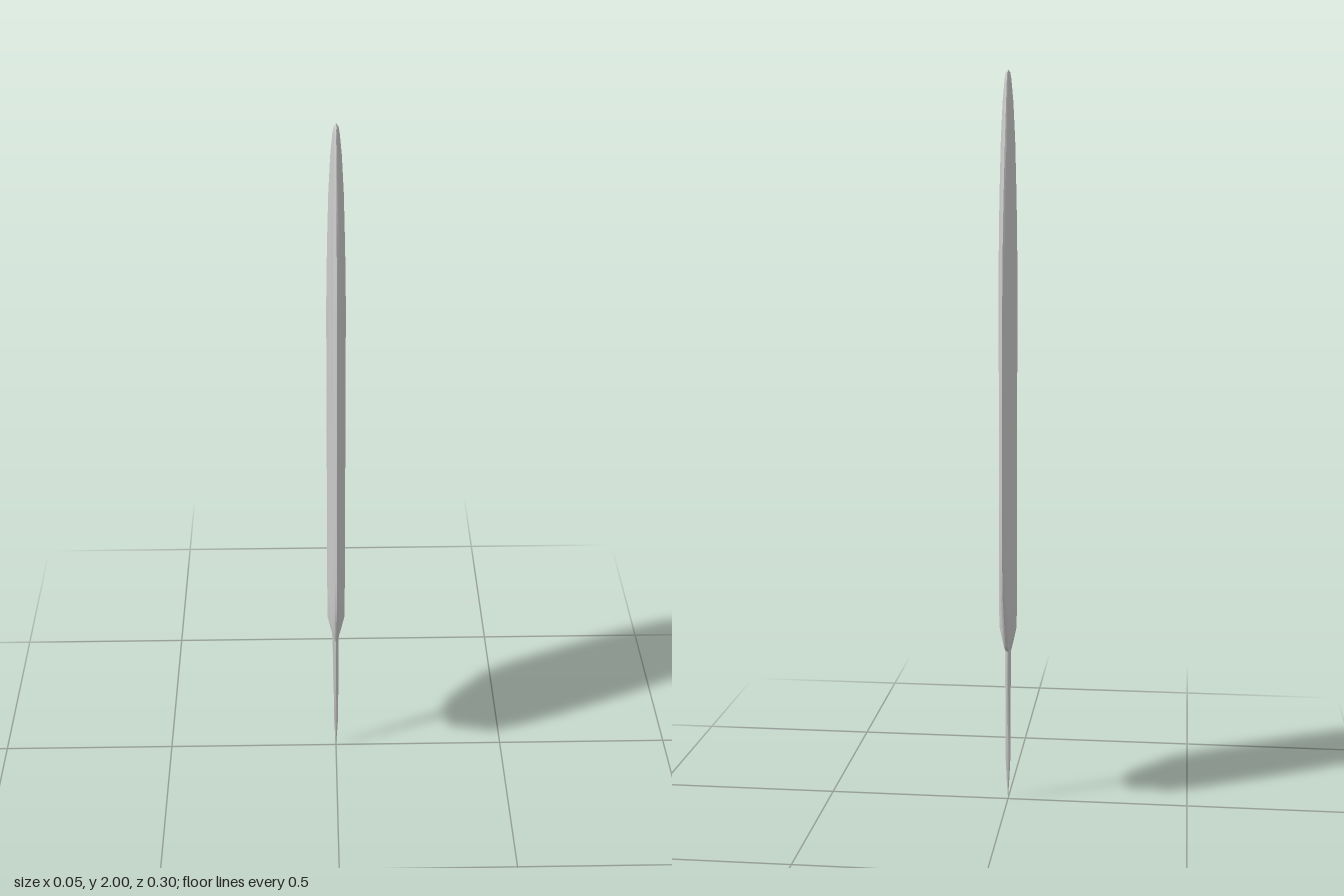
import * as THREE from 'three';
import { toCreasedNormals } from 'three/addons/utils/BufferGeometryUtils.js';

// Joins stations [y, halfX, halfZ] with one outline of [x, z] points, scaled per station
function loft(outline, stations) {
  const n = outline.length, pos = [], index = [];
  for (const [y, hx, hz] of stations)
    for (const [x, z] of outline) pos.push(x * hx, y, z * hz);
  for (let i = 0; i < stations.length - 1; i++)
    for (let j = 0; j < n; j++) {
      const a = i * n + j, b = i * n + (j + 1) % n;
      if (stations[i][2] > 0) index.push(a, b, a + n);
      if (stations[i + 1][2] > 0) index.push(b, b + n, a + n);
    }
  const g = new THREE.BufferGeometry();
  g.setAttribute('position', new THREE.Float32BufferAttribute(pos, 3));
  g.setIndex(index);
  return toCreasedNormals(g, 0.6);
}

export function createModel() {
  const group = new THREE.Group();
  const material = new THREE.MeshStandardMaterial({ color: 0xcccccc });
  const add = (name, geometry) => {
    const mesh = new THREE.Mesh(geometry, material);
    mesh.name = name;
    group.add(mesh);
  };

  // Blade section: raised spine, hollowed flanks, blunt rounded edges
  const quarter = [[0, 1], [0.2, 0.975], [0.34, 0.91], [0.41, 0.75], [0.46, 0.55],
    [0.56, 0.35], [0.72, 0.18], [0.9, 0.06]];
  const half = [...quarter, [1, 0], ...quarter.slice(1).reverse().map(([x, z]) => [x, -z])];
  const section = [...half, ...half.map(([x, z]) => [-x, -z])];

  add('blade', loft(section, [
    [0.432, 0, 0], [0.432, 0.009, 0.014], [0.457, 0.015, 0.06], [0.5, 0.024, 0.081],
    [0.617, 0.025, 0.134], [0.73, 0.025, 0.146], [0.9, 0.025, 0.15], [1.05, 0.025, 0.15],
    [1.2, 0.025, 0.149], [1.35, 0.025, 0.143], [1.5, 0.025, 0.131], [1.6, 0.024, 0.12],
    [1.7, 0.022, 0.1], [1.82, 0.019, 0.073], [1.92, 0.014, 0.044], [1.975, 0.009, 0.028],
    [1.993, 0.006, 0.017], [2, 0, 0],
  ]));

  // Thin stem narrowing to a point
  const round = Array.from({ length: 10 }, (_, i) => {
    const a = i / 10 * Math.PI * 2;
    return [Math.sin(a), Math.cos(a)];
  });
  add('stem', loft(round, [
    [0, 0, 0], [0.06, 0.004, 0.003], [0.12, 0.007, 0.004], [0.2, 0.007, 0.006],
    [0.36, 0.008, 0.009], [0.44, 0.008, 0.012], [0.5, 0, 0],
  ]));
  return group;
}
